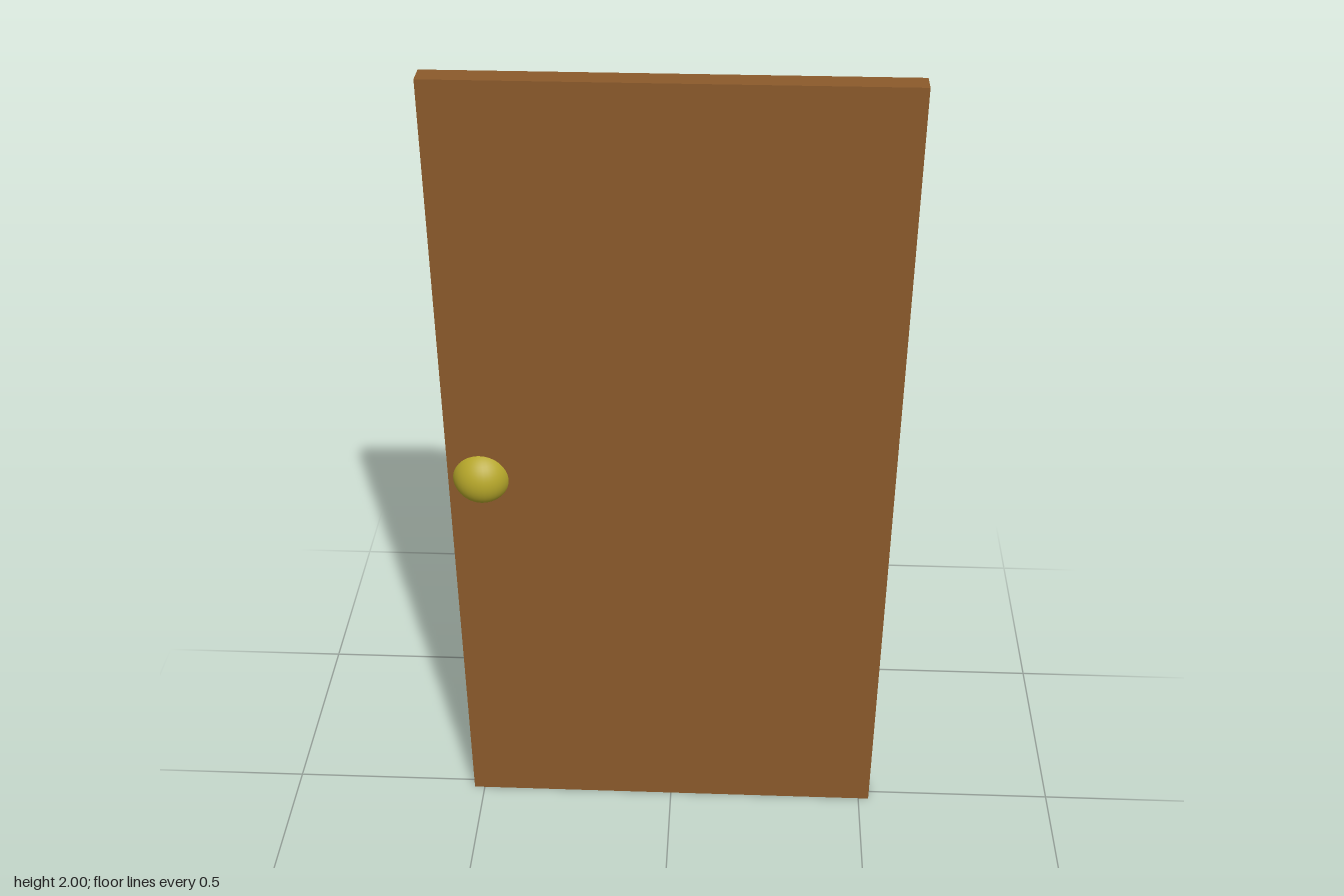
import * as THREE from 'three';

export function createModel() {
  const group = new THREE.Group();
  group.name = 'door';

  const add = (name, geometry, color, x, y, z) => {
    const mesh = new THREE.Mesh(geometry, new THREE.MeshStandardMaterial({ color }));
    mesh.name = name;
    mesh.position.set(x, y, z);
    group.add(mesh);
  };

  // Plain wooden slab
  add('doorPanel', new THREE.BoxGeometry(1.053, 2, 0.053), 0x8b5a2b, 0, 1, 0);

  // One ball passes through the slab and forms the knob on both faces
  add('doorKnob', new THREE.SphereGeometry(0.071, 32, 24), 0xb5a62a, -0.449, 1.007, 0);

  return group;
}
